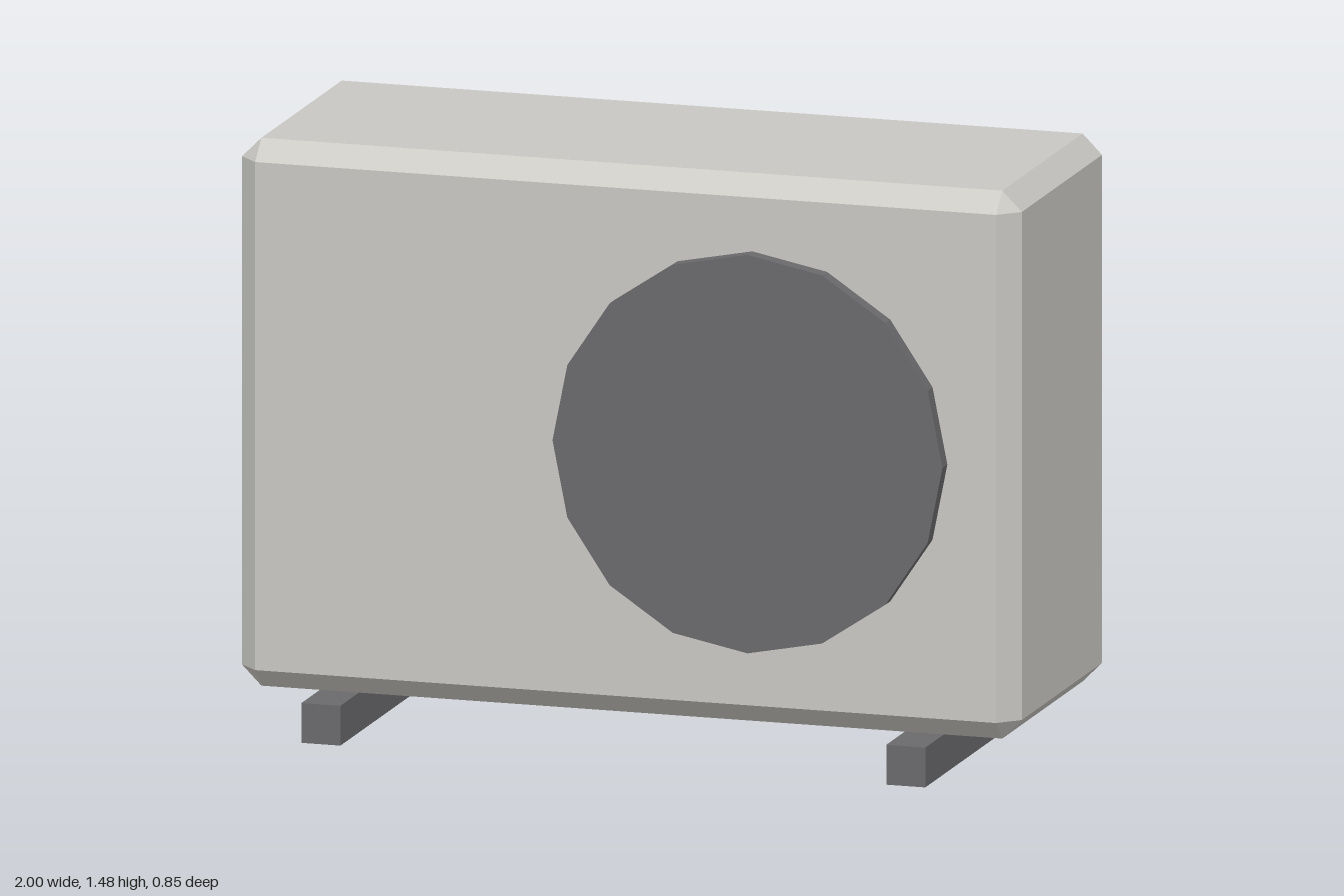
import * as THREE from 'three';
import { ConvexGeometry } from 'three/addons/geometries/ConvexGeometry.js';

// Box with every edge cut at 45 degrees: three corner points per corner
function chamferedBox(w, h, d, c) {
  const points = [];
  for (const sx of [-1, 1]) for (const sy of [-1, 1]) for (const sz of [-1, 1]) {
    const x = w / 2, y = h / 2, z = d / 2;
    points.push(
      new THREE.Vector3(sx * x, sy * (y - c), sz * (z - c)),
      new THREE.Vector3(sx * (x - c), sy * y, sz * (z - c)),
      new THREE.Vector3(sx * (x - c), sy * (y - c), sz * z)
    );
  }
  return new ConvexGeometry(points);
}

export function createModel() {
  const group = new THREE.Group();
  group.name = 'outdoorUnit';

  const casingGrey = new THREE.MeshStandardMaterial({ color: 0xc8c7c2, flatShading: true });
  casingGrey.name = 'casing grey';
  const darkGrey = new THREE.MeshStandardMaterial({ color: 0x6a6a6d, flatShading: true });
  darkGrey.name = 'dark grey';

  const add = (name, geometry, material, x, y, z) => {
    const mesh = new THREE.Mesh(geometry, material);
    mesh.name = name;
    mesh.position.set(x, y, z);
    group.add(mesh);
    return mesh;
  };

  // Casing
  add('casing', chamferedBox(2, 1.375, 0.75, 0.05), casingGrey, 0, 0.7875, -0.05);

  // Sixteen-sided fan cover, with a corner pointing straight up
  const fan = new THREE.CylinderGeometry(0.5, 0.5, 0.04, 16).rotateX(Math.PI / 2);
  add('fanCover', fan, darkGrey, 0.325, 0.79, 0.345);

  // Support rails, flush at the back and projecting at the front
  for (const side of [-1, 1]) {
    add(side > 0 ? 'leftRail' : 'rightRail', new THREE.BoxGeometry(0.1, 0.1, 0.85), darkGrey, side * 0.75, 0.05, 0);
  }

  return group;
}
